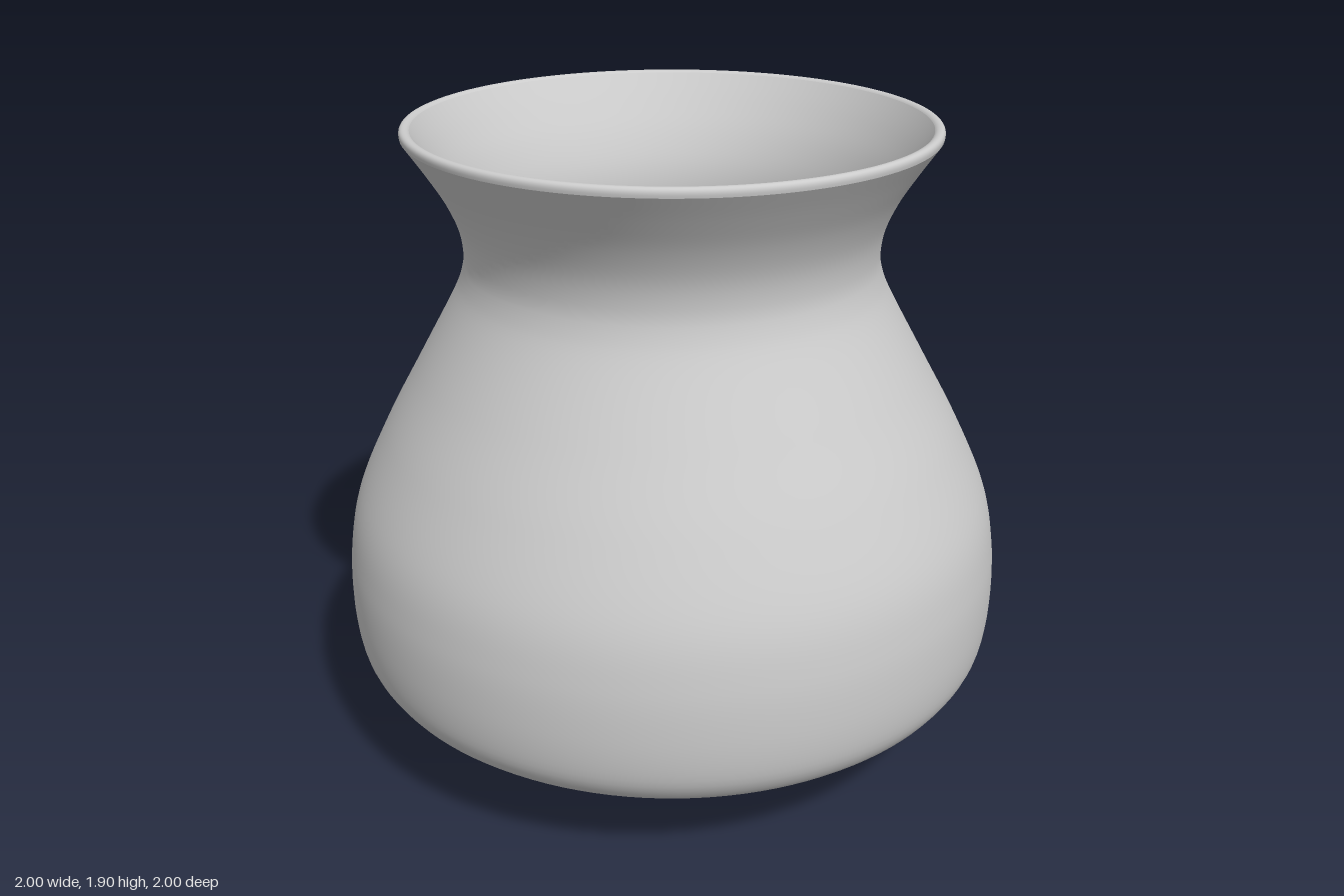
import * as THREE from 'three';

const SEGMENTS = 128;
const WALL = 0.034;

// Outer silhouette (radius, height) from the foot up to the lip
const PROFILE = [
  [0.285, 0.052], [0.45, 0.082], [0.62, 0.128], [0.8, 0.2], [0.92, 0.26], [0.965, 0.305],
  [0.99, 0.37], [1.0, 0.49], [0.992, 0.64], [0.957, 0.8], [0.865, 1.0], [0.755, 1.2],
  [0.645, 1.4], [0.613, 1.48], [0.605, 1.54], [0.617, 1.62], [0.655, 1.71], [0.71, 1.8], [0.763, 1.878],
].map(([r, y]) => new THREE.Vector2(r, y));

export function createModel() {
  const group = new THREE.Group();
  group.name = 'pot';
  const material = new THREE.MeshStandardMaterial({ color: 0xcccccc, side: THREE.DoubleSide });

  const turn = (name, points) => {
    const mesh = new THREE.Mesh(new THREE.LatheGeometry(points, SEGMENTS), material);
    mesh.name = name;
    group.add(mesh);
  };

  // Outer wall
  const curve = new THREE.SplineCurve(PROFILE);
  const count = 110;
  const outer = curve.getSpacedPoints(count);
  turn('outerWall', outer);

  // Inner wall: the silhouette offset inward by the wall thickness
  const inner = outer.map((p, i) => {
    const t = curve.getTangentAt(i / count);
    return new THREE.Vector2(p.x - t.y * WALL, p.y + t.x * WALL);
  }).reverse();
  turn('innerWall', inner);

  // Rounded lip joining the two walls
  const a = outer[count], b = inner[0];
  const lip = new THREE.CubicBezierCurve(
    a, new THREE.Vector2(a.x + 0.008, 1.909), new THREE.Vector2(b.x + 0.008, 1.907), b);
  turn('lip', lip.getPoints(12));

  // Ring foot around the open drain hole, with softened edges
  const foot = [
    [0.268, 0], [0.28, 0], [0.287, 0.004], [0.291, 0.012], [0.291, 0.04], [0.288, 0.053],
  ].map(([r, y]) => new THREE.Vector2(r, y));
  turn('foot', foot);

  const floor = inner[inner.length - 1];
  const bore = [
    [floor.x, floor.y], [0.268, floor.y - 0.004], [0.26, floor.y - 0.014],
    [0.257, floor.y - 0.026], [0.257, 0.012], [0.261, 0.003], [0.268, 0],
  ].map(([r, y]) => new THREE.Vector2(r, y));
  turn('drainHole', bore);

  return group;
}
